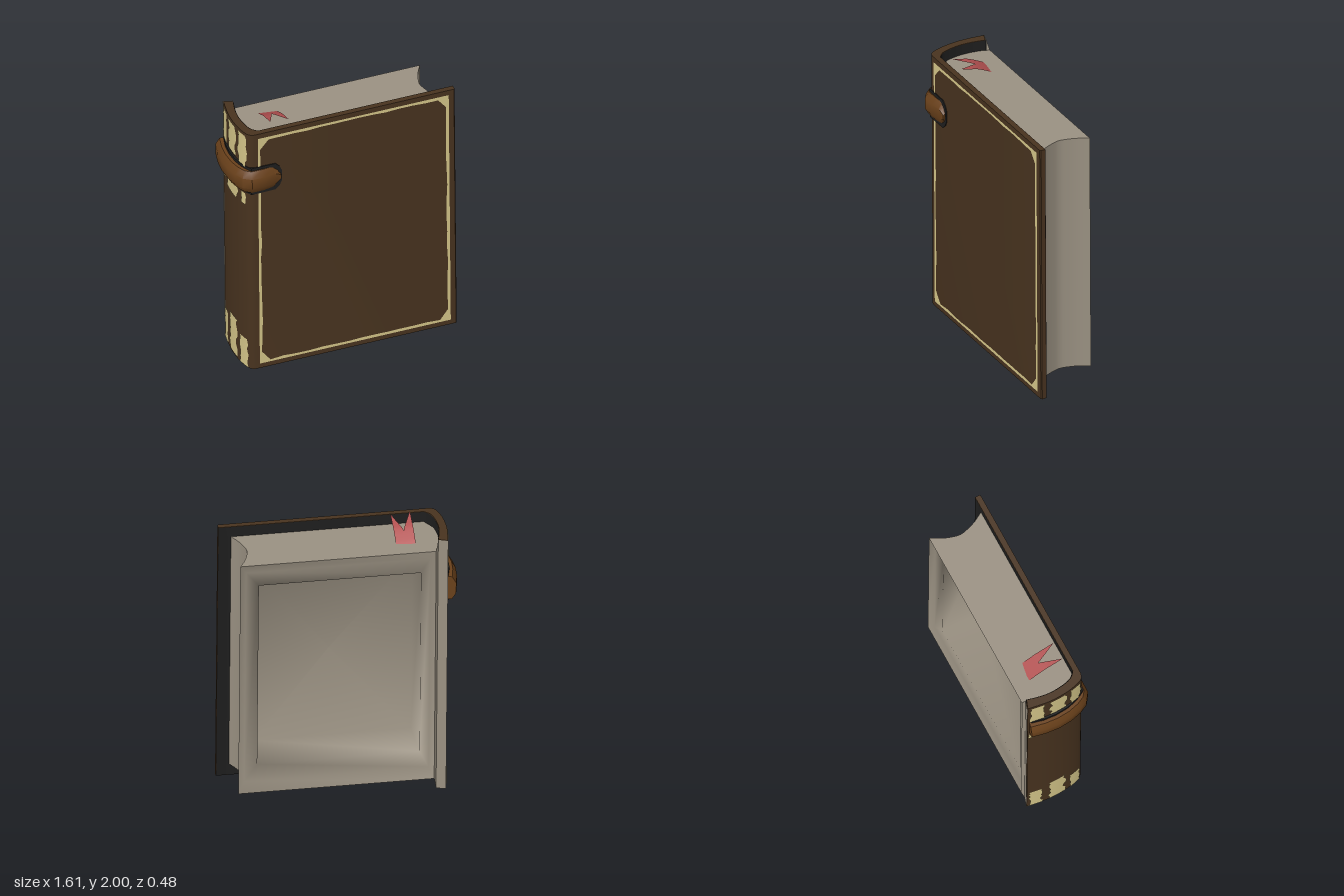
import * as THREE from 'three';
import { toCreasedNormals } from 'three/addons/utils/BufferGeometryUtils.js';

const mat = (name, color, side = THREE.FrontSide) => {
  const m = new THREE.MeshStandardMaterial({ color, side });
  m.name = name;
  return m;
};

// Surface through rows of points; each row may be a closed loop
function loft(rows, closed = false, crease = 0) {
  const n = rows[0].length, index = [];
  for (let i = 0; i < rows.length - 1; i++) {
    for (let j = 0; j < (closed ? n : n - 1); j++) {
      const a = i * n + j, b = i * n + (j + 1) % n;
      index.push(a, b, b + n, a, b + n, a + n);
    }
  }
  const g = new THREE.BufferGeometry();
  g.setAttribute('position', new THREE.Float32BufferAttribute(rows.flat(2), 3));
  g.setIndex(index);
  g.computeVertexNormals();
  return crease ? toCreasedNormals(g, crease) : g;
}

// Upright wall that follows an (x, z) path
const wall = (path, y0, y1) => loft([y0, y1].map(y => path.map(([x, z]) => [x, y, z])), false, 0.7);

// Smooth path through a few 2D points
const smooth = (pts, n) => new THREE.SplineCurve(pts.map(p => new THREE.Vector2(...p)))
  .getPoints(n).map(p => [p.x, p.y]);

// Flat plan outline from (x, z) points; y of the shape is -z
const plan = pts => new THREE.Shape(pts.map(([x, z]) => new THREE.Vector2(x, -z)));

export function createModel() {
  const root = new THREE.Group();
  root.name = 'book';
  const book = new THREE.Group();
  book.name = 'tiltedBook';
  book.rotation.z = 0.008;
  book.position.x = 0.008;
  root.add(book);

  const D = THREE.DoubleSide;
  const leather = mat('darkLeather', 0x48331f);
  const lining = mat('blackLining', 0x1e1e1e, D);
  const paper = mat('paper', 0x9a9182, D);
  const strapBrown = mat('strapLeather', 0x6a411b, D);
  const gold = mat('wornGold', 0xd6c78a, D);
  const red = mat('redRibbon', 0xb25050, D);
  const add = (name, geo, m) => {
    const mesh = new THREE.Mesh(geo, m);
    mesh.name = name;
    book.add(mesh);
    return mesh;
  };
  let seed = 7;
  const rand = () => (seed = (seed * 16807) % 2147483647) / 2147483647;

  // Front cover and rounded spine as one bent board
  const Y0 = 0.013, Y1 = 1.978;
  const outer = smooth([[-0.714, -0.238], [-0.731, -0.13], [-0.737, -0.04], [-0.73, 0.06],
    [-0.712, 0.14], [-0.69, 0.185], [-0.655, 0.2]], 18);
  const inner = smooth([[-0.652, -0.215], [-0.673, -0.13], [-0.683, -0.04], [-0.675, 0.05],
    [-0.655, 0.12], [-0.615, 0.16]], 14);
  const board = new THREE.ExtrudeGeometry(
    plan([...outer, [0.79, 0.2], [0.797, 0.193], [0.797, 0.16], ...inner.slice().reverse()]),
    { depth: Y1 - Y0, bevelEnabled: false });
  board.rotateX(-Math.PI / 2).translate(0, Y0, 0);
  add('coverAndSpine', toCreasedNormals(board, 0.6), leather);
  const liningPath = [...inner.map(([x, z]) => [x + 0.003, z - 0.002]), [0.795, 0.158]];
  add('innerLining', wall(liningPath, Y0 + 0.002, Y1 - 0.002), lining);

  // Page block: rounded back, hollow fore edge, top and bottom
  const P0 = 0.1, P1 = 1.9, BACK = -0.24;
  const pageBack = smooth([[-0.635, BACK], [-0.669, -0.15], [-0.682, -0.04], [-0.672, 0.06],
    [-0.612, 0.16]], 14);
  const foreEdge = smooth([[0.71, 0.16], [0.665, 0.08], [0.638, 0], [0.632, -0.04],
    [0.638, -0.08], [0.665, -0.16], [0.71, BACK]], 18);
  add('pageBack', wall(pageBack, P0, P1), paper);
  add('foreEdge', wall(foreEdge, P0, P1), paper);
  for (const [name, y, flip] of [['pageTop', P1, 1], ['pageBottom', P0, -1]]) {
    const pts = [...pageBack, ...foreEdge].map(([x, z]) => [x, z * flip]);
    const cap = new THREE.ShapeGeometry(plan(pts));
    cap.rotateX(-flip * Math.PI / 2);
    add(name, cap, paper).position.y = y;
  }

  // Rolled rim and deep hollow in the back of the pages
  const ring = (x0, x1, y0, y1, z) => [[x0, y0, z], [x1, y0, z], [x1, y1, z], [x0, y1, z]];
  add('hollow', loft([
    ring(-0.635, 0.71, P0, P1, BACK),
    ring(-0.6, 0.665, 0.18, 1.83, -0.213),
    ring(-0.54, 0.575, 0.3, 1.715, -0.2),
    ring(-0.525, 0.56, 0.32, 1.69, 0.08),
    ring(0.04, 0.04, 1, 1, 0.1),
  ], true), paper);

  // Torn endpaper that dips between the pages and covers the edge of the spine
  add('endpaperHinge', loft([
    [[-0.635, P0, BACK], [-0.635, P1, BACK]],
    [[-0.652, Y0, -0.222], [-0.652, Y1, -0.222]],
    [[-0.717, Y0, -0.243], [-0.717, Y1, -0.243]],
  ], false, 0.3), paper);

  // Gilt frame on the front cover, worn along its inner edge
  const [gx0, gx1, gy0, gy1] = [-0.632, 0.751, 0.052, 1.941];
  const frame = new THREE.Shape([[gx0, gy0], [gx1, gy0], [gx1, gy1], [gx0, gy1]]
    .map(p => new THREE.Vector2(...p)));
  const worn = [];
  const wear = () => 0.015 + 0.01 * rand();
  for (let i = 0; i < 4; i++) {
    for (let k = 0; k < 14; k++) {
      const t = (k + 0.5) / 14, w = wear();
      const x = gx0 + 0.03 + t * (gx1 - gx0 - 0.06), y = gy0 + 0.03 + t * (gy1 - gy0 - 0.06);
      worn.push(new THREE.Vector2(...[[x, gy0 + w], [gx1 - w, y],
        [gx0 + gx1 - x, gy1 - w], [gx0 + w, gy0 + gy1 - y]][i]));
    }
  }
  frame.holes.push(new THREE.Path(worn));
  add('giltFrame', new THREE.ShapeGeometry(frame), gold).position.z = 0.203;

  // Ragged gilt patches that hug the spine
  const spineX = z => {
    const i = Math.max(1, outer.findIndex(p => p[1] >= z));
    const [a, b] = [outer[i - 1], outer[i]];
    return a[0] + (b[0] - a[0]) * (z - a[1]) / (b[1] - a[1]);
  };
  const patches = [
    [-0.237, -0.11, 1.7, 1.96], [-0.09, 0.06, 1.72, 1.96], [0.07, 0.175, 1.7, 1.96],
    [-0.237, -0.16, 1.385, 1.46], [-0.13, 0.09, 1.37, 1.475], [0.11, 0.165, 1.38, 1.475],
    [-0.237, -0.12, 0.02, 0.28], [-0.1, 0.06, 0.03, 0.34], [0.075, 0.175, 0.02, 0.25],
  ];
  for (const [z0, z1, y0, y1] of patches) {
    const rows = [], steps = y1 - y0 > 0.15 ? 9 : 3;
    for (let i = 0; i <= steps; i++) {
      const y = y0 + (y1 - y0) * i / steps;
      const a = z0 + rand() * 0.2 * (z1 - z0), b = z1 - rand() * 0.2 * (z1 - z0);
      rows.push([0, 1, 2, 3, 4].map(k => {
        const z = a + (b - a) * k / 4;
        return [spineX(z) - 0.005, y, z + (z > 0.13 ? 0.003 : 0)];
      }));
    }
    add('spineGilding', loft(rows), gold);
  }

  // Raised strap around the spine, with a rounded tip on the cover
  const strapY = 1.596;
  const path = [[-0.736, -0.23], [-0.757, -0.13], [-0.764, -0.04], [-0.757, 0.05], [-0.737, 0.125],
    [-0.712, 0.175], [-0.68, 0.2], [-0.6, 0.2], [-0.525, 0.19], [-0.495, 0.187], [-0.478, 0.184]];
  const sweep = (pts, heights, section) => {
    const rows = pts.map(([x, z], i) => {
      const a = pts[Math.max(0, i - 1)], b = pts[Math.min(pts.length - 1, i + 1)];
      const len = Math.hypot(b[0] - a[0], b[1] - a[1]);
      const nx = -(b[1] - a[1]) / len, nz = (b[0] - a[0]) / len;
      const h = heights[Math.max(0, i - pts.length + heights.length)];
      return section.map(([s, t]) => [x + nx * t, strapY + s * h, z + nz * t]);
    });
    const end = (row, p) => row.map(() => [p[0], strapY, p[1]]);
    return loft([end(rows[0], pts[0]), ...rows, end(rows.at(-1), pts.at(-1))], true, 0.6);
  };
  add('strap', sweep(path, [0.088, 0.086, 0.062, 0.03],
    [[-1, -0.03], [-1, 0.012], [-0.45, 0.04], [0.45, 0.04], [1, 0.012], [1, -0.03]]), strapBrown);

  // Dark worn border beneath the strap
  const border = path.map(([x, z], i) => i < 6 ? [x + 0.02, z] : [x + (i > 7 ? 0.018 : 0), 0.198]);
  border[0][1] = -0.215;
  add('strapBorder', sweep(border, [0.11, 0.108, 0.078, 0.04],
    [[-1, -0.02], [-1, 0.008], [1, 0.008], [1, -0.02]]), lining);

  // Ribbon bookmark: swallow tail above the pages, slightly twisted
  const ribbonLine = smooth([[-0.12, 1.897], [-0.08, 1.92], [0, 1.96], [0.06, 1.978],
    [0.13, 2.0]], 16);
  const tail = new THREE.Group();
  tail.name = 'bookmarkTail';
  book.add(tail);
  for (const side of [-1, 1]) {
    const rows = ribbonLine.map(([z, y]) => {
      const notch = Math.max(0, (z + 0.015) / 0.145) * 0.064;
      return [notch, 0.067].map(w => [-0.448 + side * w, y - side * w * 0.1, z]);
    });
    const half = new THREE.Mesh(loft(rows), red);
    half.name = 'bookmarkTailHalf';
    tail.add(half);
  }

  // Ribbon loop sagging below the pages
  const loop = smooth([[-0.45, 0.102], [-0.455, 0.085], [-0.48, 0.066], [-0.55, 0.062],
    [-0.62, 0.075], [-0.66, 0.095]], 14);
  add('bookmarkLoop', loft(loop.map(([x, y], i) => {
    const w = 0.08 - 0.03 * i / 14;
    return [-1, -0.5, 0, 0.5, 1].map(s => [x, Math.min(0.102, y + 0.02 * s * s), -0.037 + s * w]);
  })), red);

  return root;
}
